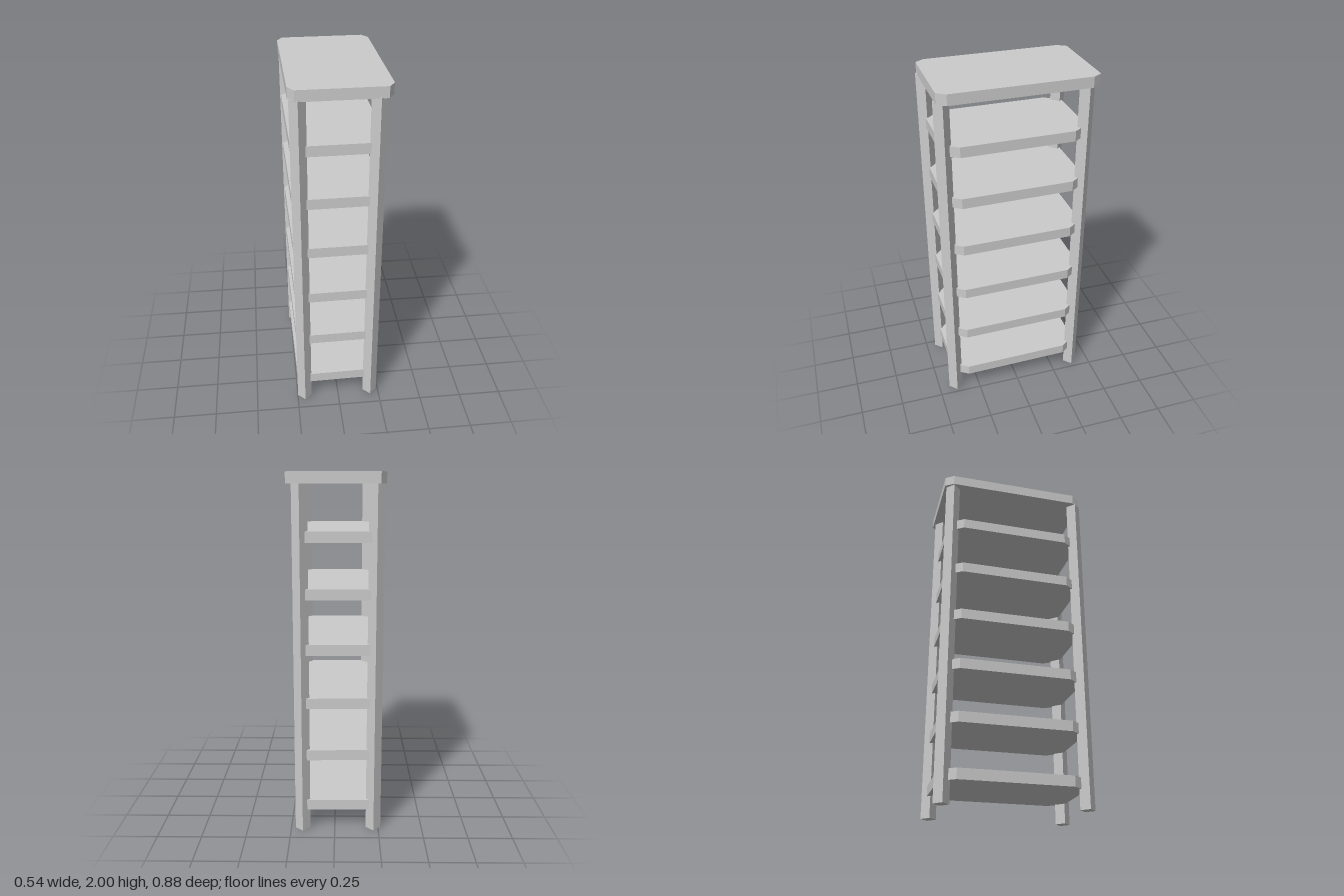
import * as THREE from 'three';

const material = new THREE.MeshStandardMaterial({ color: 0xcccccc, flatShading: true });
const TWIST = 0.018; // the whole unit stands slightly turned

// Flat board with four cut corners, lying on y = 0
function board(name, hx, hz, cutX, cutZ, thickness) {
  const outline = [
    [hx, hz - cutZ], [hx - cutX, hz], [cutX - hx, hz], [-hx, hz - cutZ],
    [-hx, cutZ - hz], [cutX - hx, -hz], [hx - cutX, -hz], [hx, cutZ - hz],
  ].map(([x, z]) => new THREE.Vector2(x, z));
  const geometry = new THREE.ExtrudeGeometry(new THREE.Shape(outline), { depth: thickness, bevelEnabled: false });
  geometry.rotateX(-Math.PI / 2);
  const mesh = new THREE.Mesh(geometry, material);
  mesh.name = name;
  mesh.rotation.y = TWIST;
  return mesh;
}

export function createModel() {
  const model = new THREE.Group();
  model.name = 'shelfRack';

  // Top board
  const top = board('topBoard', 0.2615, 0.433, 0.032, 0.049, 0.06);
  top.position.y = 1.94;
  model.add(top);

  // Six evenly spaced shelves
  for (let i = 0; i < 6; i++) {
    const shelf = board(`shelf${i + 1}`, 0.244, 0.402, 0.06, 0.085, 0.06);
    shelf.position.set(-0.01, 0.12 + i * 0.3036, 0.005);
    model.add(shelf);
  }

  // Four square legs set diagonally at the corners
  const legs = new THREE.Group();
  legs.name = 'legs';
  legs.position.set(-0.012, 0, 0.01);
  legs.rotation.y = TWIST;
  for (const sx of [-1, 1]) {
    for (const sz of [-1, 1]) {
      const foot = sz > 0 ? 0.008 : 0;
      const height = 1.945 - foot;
      const leg = new THREE.Mesh(new THREE.BoxGeometry(0.06, height, 0.06), material);
      leg.name = `${sz > 0 ? 'front' : 'back'}${sx > 0 ? 'Left' : 'Right'}Leg`;
      leg.position.set(sx * 0.202, foot + height / 2, sz * 0.39);
      leg.rotation.y = Math.PI / 4;
      legs.add(leg);
    }
  }
  model.add(legs);
  return model;
}
